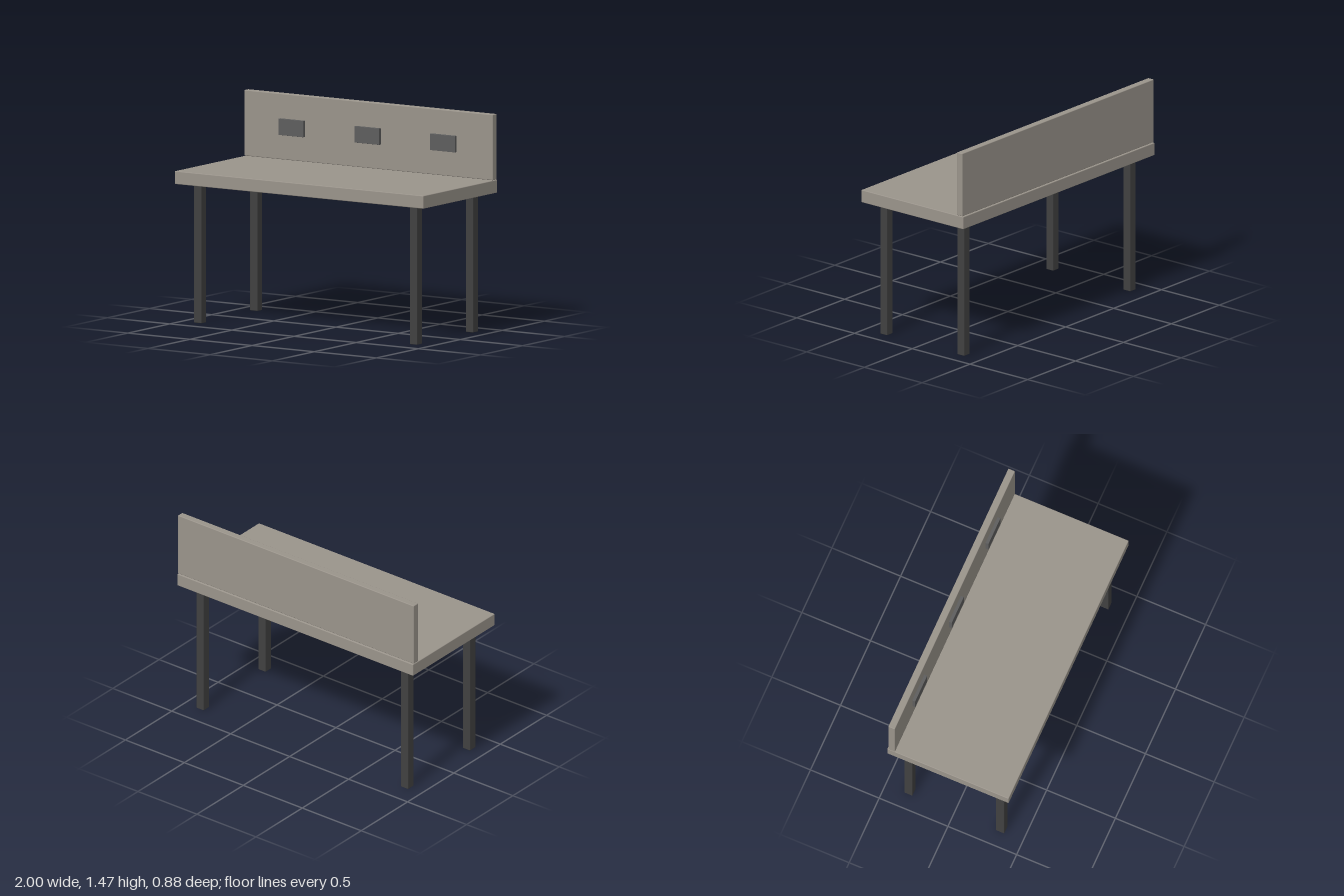
import * as THREE from 'three';
import { RoundedBoxGeometry } from 'three/addons/geometries/RoundedBoxGeometry.js';

function material(name, color) {
  const m = new THREE.MeshStandardMaterial({ color });
  m.name = name;
  return m;
}

export function createModel() {
  const desk = new THREE.Group();
  desk.name = 'desk';

  const board = material('greige board', 0x9a948b);
  const metal = material('dark metal', 0x414141);
  const plastic = material('grey plastic', 0x5e5e5e);

  // Box with finely softened edges, placed by its centre
  function block(name, mat, size, position, radius = 0.005) {
    const mesh = new THREE.Mesh(new RoundedBoxGeometry(...size, 2, radius), mat);
    mesh.name = name;
    mesh.position.set(...position);
    desk.add(mesh);
  }

  // Worktop and the upright panel along its back edge
  block('tabletop', board, [2, 0.088, 0.883], [0, 0.979, 0]);
  block('backPanel', board, [2, 0.443, 0.048], [0, 1.246, -0.41]);

  // Four square legs
  for (const x of [-1, 1]) {
    for (const z of [-1, 1]) {
      const name = (z > 0 ? 'front' : 'back') + (x > 0 ? 'Left' : 'Right') + 'Leg';
      block(name, metal, [0.06, 0.935, 0.06], [x * 0.867, 0.4675, z * 0.334], 0.004);
    }
  }

  // Row of socket boxes on the panel
  for (const x of [-0.61, 0, 0.61]) {
    block('socketBox', plastic, [0.2, 0.11, 0.024], [x, 1.246, -0.377], 0.001);
  }

  return desk;
}
